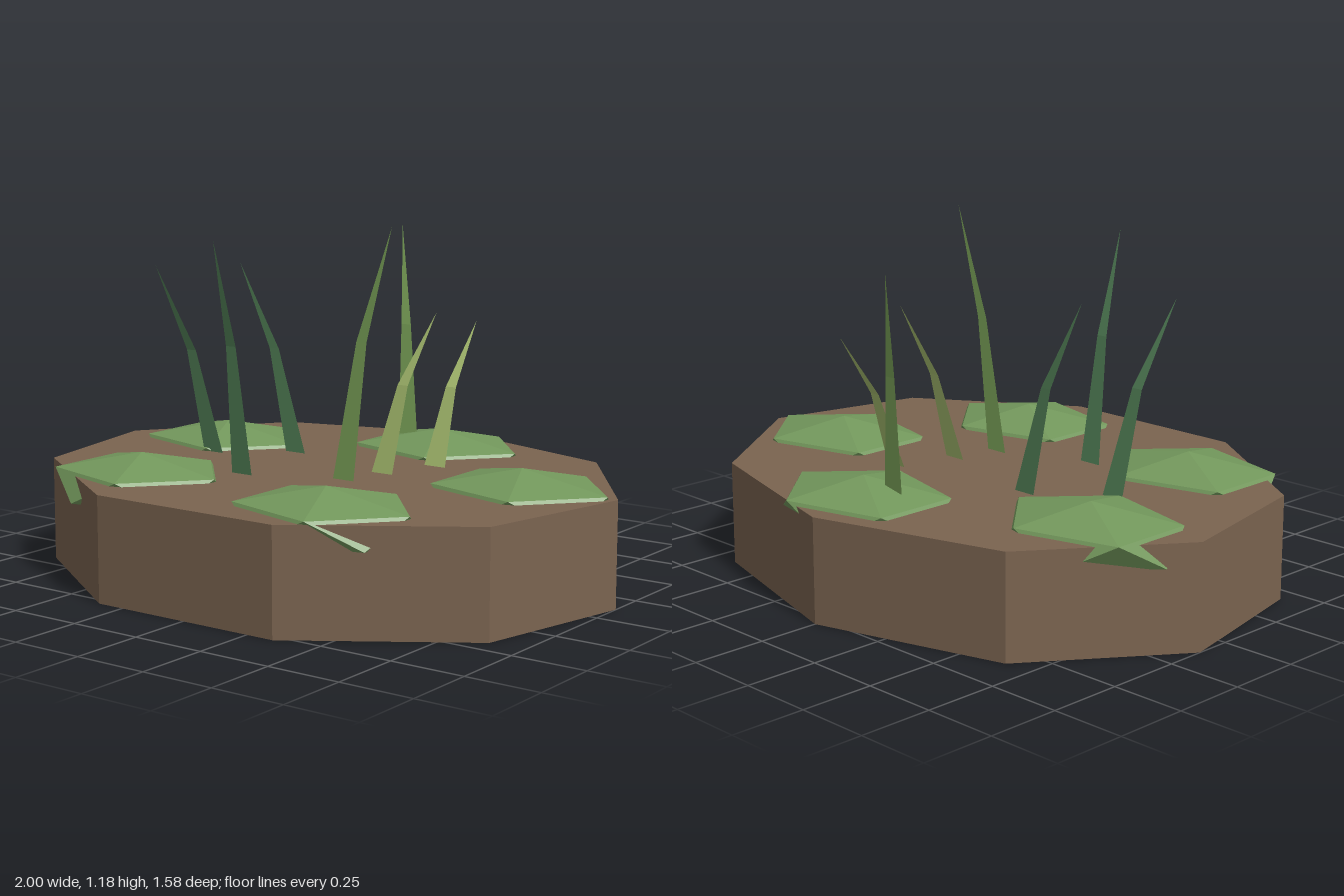
import * as THREE from 'three';

const SOIL_TOP = 0.35;

function material(color, side = THREE.FrontSide) {
  const m = new THREE.MeshStandardMaterial({ color, side, flatShading: true });
  return m;
}

// Flat two-segment grass blade: wide base, narrower bend, pointed tip
function bladeGeometry([bx, bz], [tx, ty, tz]) {
  const half = 0.041, midHalf = 0.02;
  const mx = bx + (tx - bx) * 0.38;
  const my = SOIL_TOP + (ty - SOIL_TOP) * 0.55;
  const mz = bz + (tz - bz) * 0.38;
  const g = new THREE.BufferGeometry();
  g.setAttribute('position', new THREE.Float32BufferAttribute([
    bx - half, SOIL_TOP, bz, bx + half, SOIL_TOP, bz,
    mx - midHalf, my, mz, mx + midHalf, my, mz,
    tx, ty, tz,
  ], 3));
  g.setIndex([0, 1, 3, 0, 3, 2, 2, 3, 4]);
  g.computeVertexNormals();
  return g;
}

export function createModel() {
  const model = new THREE.Group();
  const add = (name, geometry, mat) => {
    const mesh = new THREE.Mesh(geometry, mat);
    mesh.name = name;
    model.add(mesh);
    return mesh;
  };

  // Nine-sided slab of soil, a vertex pointing to the back
  const soil = new THREE.CylinderGeometry(1, 1, SOIL_TOP, 9);
  soil.rotateY(Math.PI).scale(1.0154, 1, 0.812).translate(0, SOIL_TOP / 2, 0.022);
  add('soil', soil, material(0x7b6450));

  // Flattened icosahedra, one vertex up, half sunk into the soil
  const leaf = new THREE.IcosahedronGeometry(1, 0);
  leaf.rotateZ(-Math.atan(2 / (1 + Math.sqrt(5))));
  leaf.scale(0.346, 0.1, 0.282);
  const leafMaterial = material(0x73985c);
  const leafCentres = [
    [0.07, -0.52], [0.67, -0.09], [0.33, 0.495], [-0.48, 0.425], [-0.63, -0.21],
  ];
  leafCentres.forEach(([x, z], i) => {
    add(`leafClump${i + 1}`, leaf, leafMaterial).position.set(x, 0.316, z);
  });

  // Grass blades in three greens: base [x, z], tip [x, y, z]
  const dark = material(0x55855a, THREE.DoubleSide);
  const mid = material(0x7fa85c, THREE.DoubleSide);
  const light = material(0xa8bf70, THREE.DoubleSide);
  const blades = [
    [dark, [-0.51, 0.02], [-0.65, 1.0, 0.15]],
    [dark, [-0.275, -0.14], [-0.5, 1.0, -0.12]],
    [dark, [-0.19, 0.26], [-0.187, 1.13, 0.4]],
    [mid, [-0.05, -0.5], [-0.16, 1.11, -0.62]],
    [mid, [0.135, 0.14], [0.33, 1.18, 0.15]],
    [light, [0.175, -0.02], [0.3, 0.88, -0.15]],
    [light, [0.25, -0.22], [0.27, 0.82, -0.44]],
  ];
  blades.forEach(([mat, base, tip], i) => {
    add(`grassBlade${i + 1}`, bladeGeometry(base, tip), mat);
  });

  return model;
}
